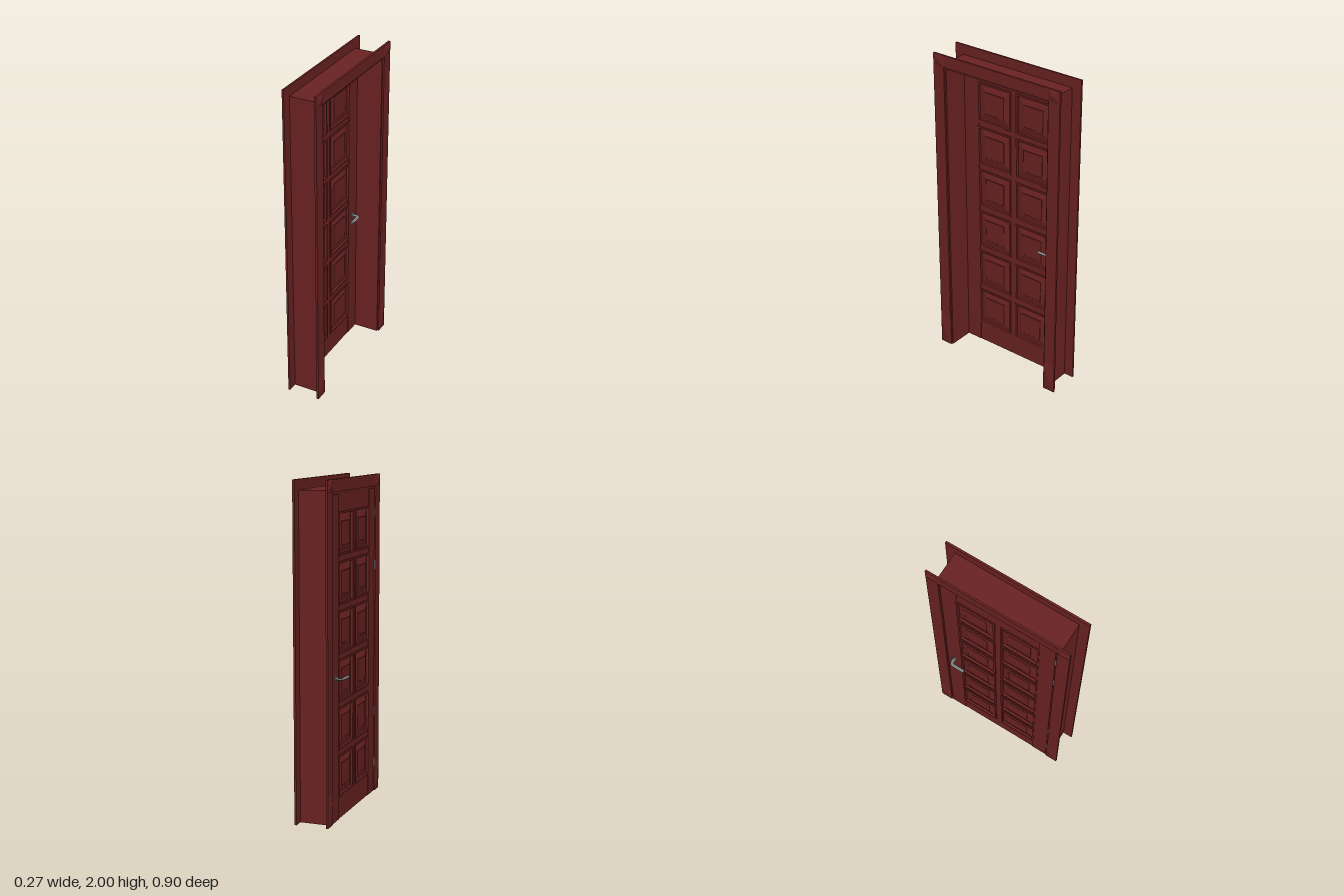
import * as THREE from 'three';

const wood = new THREE.MeshStandardMaterial({ color: 0x6b2222, flatShading: true });
const metal = new THREE.MeshStandardMaterial({ color: 0x808080 });

// Closed rectangle outline in the (z, y) plane
function rect(z0, y0, z1, y1, Type = THREE.Shape) {
  return new Type([[z0, y0], [z1, y0], [z1, y1], [z0, y1]].map(p => new THREE.Vector2(...p)));
}

// Upside-down U outline around the doorway
function arch(zIn, yIn, zOut, yOut) {
  return new THREE.Shape([[-zOut, 0], [-zIn, 0], [-zIn, yIn], [zIn, yIn], [zIn, 0], [zOut, 0], [zOut, yOut], [-zOut, yOut]]
    .map(p => new THREE.Vector2(...p)));
}

// Extrudes a (z, y) outline between two x positions
function slab(name, shape, x0, x1) {
  const geo = new THREE.ExtrudeGeometry(shape, { depth: x1 - x0, bevelEnabled: false });
  geo.rotateY(-Math.PI / 2).translate(x1, 0, 0);
  const mesh = new THREE.Mesh(geo, wood);
  mesh.name = name;
  return mesh;
}

// Four-sided frustum pointing along x; dir is +1 or -1
function frustum(name, topScale, depth, h, w, x, y, z, dir) {
  const geo = new THREE.CylinderGeometry(topScale * Math.SQRT1_2, Math.SQRT1_2, 1, 4);
  geo.rotateY(Math.PI / 4).translate(0, 0.5, 0).rotateZ(-dir * Math.PI / 2).scale(depth, h, w);
  const mesh = new THREE.Mesh(geo, wood);
  mesh.position.set(x, y, z);
  mesh.name = name;
  return mesh;
}

// Lever handle with round rose, pointing along x
function makeHandle(dir, x) {
  const handle = new THREE.Group();
  handle.name = 'handle';
  const rose = new THREE.Mesh(new THREE.CylinderGeometry(0.018, 0.018, 0.006, 20).rotateZ(Math.PI / 2), metal);
  rose.name = 'handleRose';
  rose.position.x = dir * 0.003;
  const path = new THREE.CurvePath();
  const v = (a, c) => new THREE.Vector3(dir * a, 0, c);
  path.add(new THREE.LineCurve3(v(0, 0), v(0.024, 0)));
  path.add(new THREE.QuadraticBezierCurve3(v(0.024, 0), v(0.043, 0), v(0.043, 0.019)));
  path.add(new THREE.LineCurve3(v(0.043, 0.019), v(0.043, 0.093)));
  const lever = new THREE.Mesh(new THREE.TubeGeometry(path, 30, 0.011, 12), metal);
  lever.name = 'handleLever';
  lever.scale.y = 0.6;
  handle.add(rose, lever);
  // Cap on the free end of the lever
  const cap = new THREE.Mesh(new THREE.CircleGeometry(0.011, 12), metal);
  cap.name = 'handleCap';
  cap.position.set(dir * 0.043, 0, 0.093);
  cap.scale.y = 0.6;
  handle.add(cap);
  handle.position.set(x, 0.857, -0.315);
  return handle;
}

export function createModel() {
  const model = new THREE.Group();
  model.name = 'panelledDoor';

  // Deep jamb lining the opening
  model.add(slab('jamb', arch(0.364, 1.915, 0.389, 1.94), -0.08, 0.11));

  // Flat casings with pyramid blocks at the corners, on both faces
  for (const [dir, x0, x1] of [[-1, -0.09, -0.078], [1, 0.107, 0.12]]) {
    model.add(slab('casing', arch(0.373, 1.928, 0.45, 2), x0, x1));
    const face = dir < 0 ? x0 : x1;
    for (const side of [-1, 1]) {
      model.add(frustum('plinthBlock', 0, 0.012, 0.19, 0.08, face, 0.095, side * 0.41, dir));
      model.add(frustum('cornerBlock', 0, 0.012, 0.072, 0.08, face, 1.964, side * 0.41, dir));
    }
  }

  // Door leaf: stiles, pierced centre frame, thin core
  const door = new THREE.Group();
  door.name = 'doorLeaf';
  const back = -0.085, front = -0.05;
  for (const side of [-1, 1]) {
    const z = [side * 0.261, side * 0.364].sort((a, b) => a - b);
    door.add(slab('stile', rect(z[0], 0, z[1], 1.915), back, front));
  }
  const centre = rect(-0.261, 0, 0.261, 1.915);
  const cells = [];
  for (let row = 0; row < 6; row++) {
    for (const side of [-1, 1]) cells.push([0.262 + row * 0.285, side * 0.142]);
  }
  const hw = 0.113, hh = 0.115;
  for (const [y, z] of cells) centre.holes.push(rect(z - hw, y - hh, z + hw, y + hh, THREE.Path));
  door.add(slab('railsAndMullion', centre, back + 0.003, front - 0.003));
  door.add(slab('core', rect(-0.261, 0.1, 0.261, 1.85), -0.073, -0.062));

  // Raised panels and their mouldings, front and back
  for (const [y, z] of cells) {
    const ring = rect(z - 0.124, y - 0.126, z + 0.124, y + 0.126);
    ring.holes.push(rect(z - hw, y - hh, z + hw, y + hh, THREE.Path));
    door.add(slab('panelMoulding', ring, back - 0.003, front + 0.003));
    for (const [dir, x] of [[-1, -0.073], [1, -0.062]]) {
      door.add(frustum('panelBevel', 0.69, 0.008, 0.214, 0.21, x, y, z, dir));
      door.add(frustum('panelField', 0.97, 0.002, 0.14, 0.142, x + dir * 0.008, y, z, dir));
    }
  }
  model.add(door);

  model.add(makeHandle(-1, back), makeHandle(1, front));

  // Hinge knuckles on the flush face
  for (const y of [0.19, 0.52, 1.445, 1.77]) {
    const hinge = new THREE.Mesh(new THREE.CylinderGeometry(0.005, 0.005, 0.06, 12), metal);
    hinge.name = 'hinge';
    hinge.position.set(-0.087, y, 0.367);
    model.add(hinge);
  }
  return model;
}
